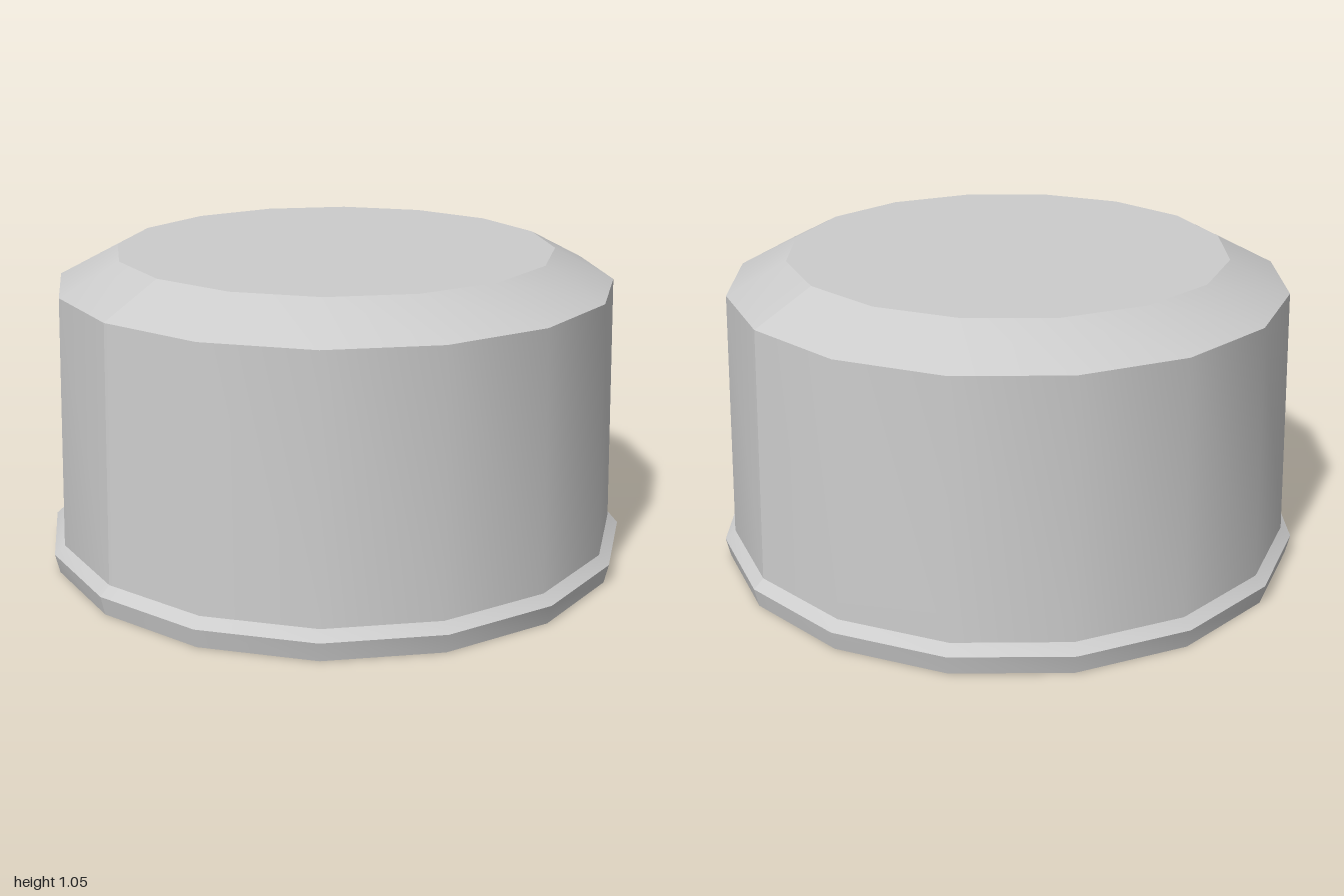
import * as THREE from 'three';

const SIDES = 16;

// One band of the turned profile, made as two halves that meet at +z and -z.
// Normals are smooth around each half and sharp where bands or halves meet.
function band(name, from, to, material) {
  const group = new THREE.Group();
  group.name = name;
  const points = [new THREE.Vector2(...from), new THREE.Vector2(...to)];
  for (const start of [0, Math.PI]) {
    const geometry = new THREE.LatheGeometry(points, SIDES / 2, start, Math.PI);
    geometry.computeVertexNormals();
    const mesh = new THREE.Mesh(geometry, material);
    mesh.name = name + (start === 0 ? 'Left' : 'Right');
    group.add(mesh);
  }
  return group;
}

export function createModel() {
  const model = new THREE.Group();
  model.name = 'cap';
  const material = new THREE.MeshStandardMaterial({ color: 0xcccccc });

  // Profile as [radius, height]: inside ceiling, down the bore, out and up to the top
  const profile = [
    [0, 0.89], [0.82, 0.89], [0.85, 0], [0.985, 0], [1, 0.065],
    [0.965, 0.095], [0.94, 0.945], [0.74, 1.05], [0, 1.05],
  ];
  const names = [
    'ceiling', 'innerWall', 'bottomRim', 'lip', 'lipBevel',
    'outerWall', 'topChamfer', 'topFace',
  ];
  names.forEach((name, i) => model.add(band(name, profile[i], profile[i + 1], material)));
  return model;
}
